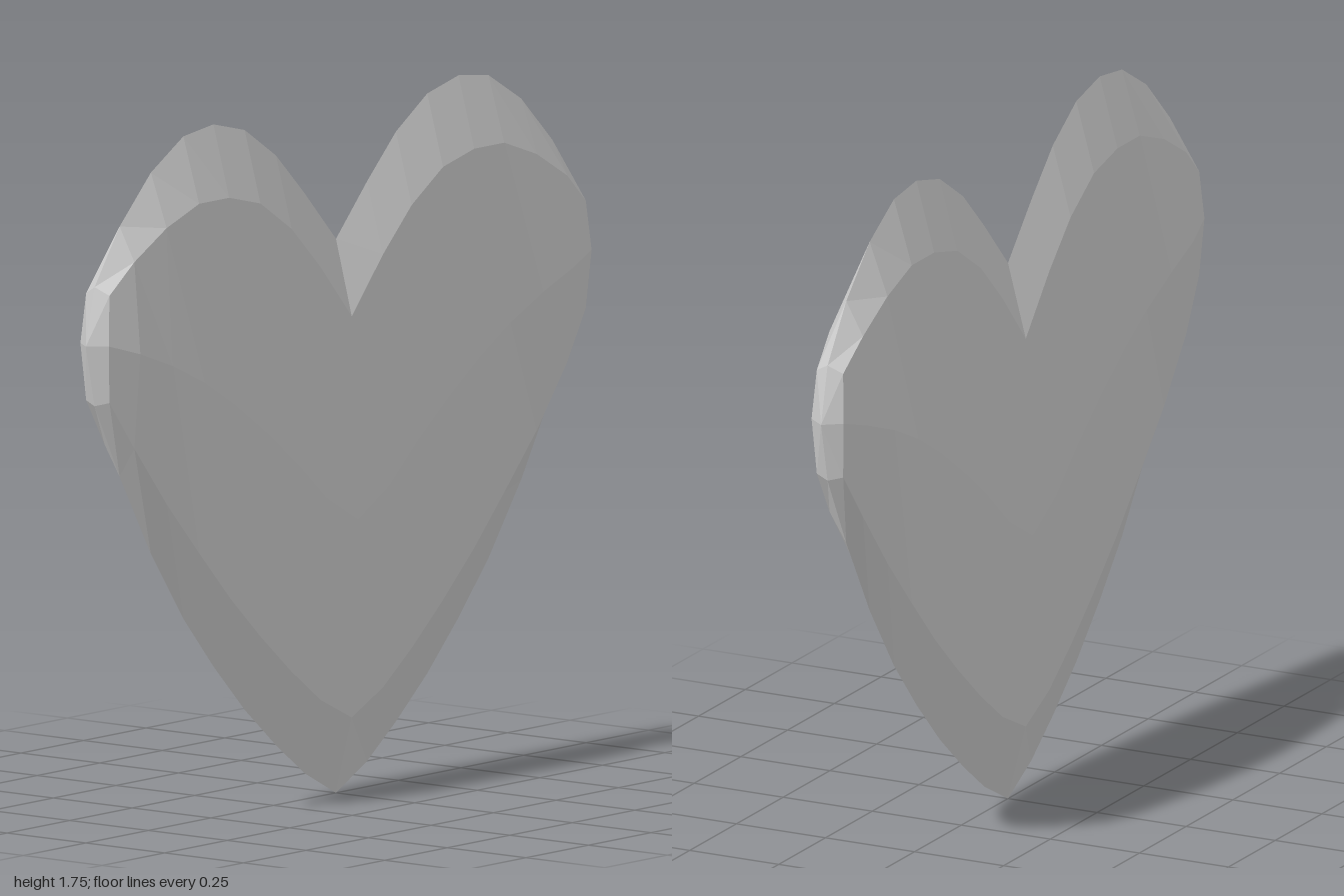
import * as THREE from 'three';

// Half-heart stations from the centre crease to the side tip:
// [x, top rim, upper bevel, middle ridge, lower bevel, bottom rim, bevel depth, ridge depth]
const STATIONS = [
  [0, 1.40, 1.21, 0.70, 0.20, 0.005, 0.05, 0.07],
  [0.125, 1.53, 1.35, 0.77, 0.26, 0.07, 0.05, 0.07],
  [0.24, 1.64, 1.46, 0.87, 0.345, 0.155, 0.05, 0.07],
  [0.365, 1.72, 1.54, 0.965, 0.45, 0.26, 0.05, 0.07],
  [0.49, 1.75, 1.57, 1.05, 0.565, 0.385, 0.05, 0.07],
  [0.61, 1.735, 1.57, 1.12, 0.69, 0.52, 0.05, 0.07],
  [0.74, 1.66, 1.525, 1.18, 0.83, 0.70, 0.05, 0.07],
  [0.865, 1.54, 1.455, 1.225, 0.985, 0.91, 0.047, 0.066],
  [0.965, 1.40, 1.38, 1.255, 1.11, 1.10, 0.037, 0.045],
  [1, 1.255, 1.255, 1.255, 1.255, 1.255, 0, 0],
];
const SIDES = 8;

// Eight-sided ring: top rim, down the front, bottom rim, up the back
function ring([x, top, upper, mid, lower, bottom, zb, zr], side) {
  const inset = x > 0.9 && x < 1 ? x - 0.013 : x; // bevel corners pull in near the tip
  return [
    [x, top, 0], [inset, upper, zb], [x, mid, zr], [inset, lower, zb],
    [x, bottom, 0], [inset, lower, -zb], [x, mid, -zr], [inset, upper, -zb],
  ].map(([px, py, pz]) => new THREE.Vector3(side * px, py, pz));
}

export function createModel() {
  // Left tip to right tip, mirrored about the crease
  const rings = [
    ...STATIONS.slice(1).reverse().map((s) => ring(s, -1)),
    ...STATIONS.map((s) => ring(s, 1)),
  ];
  const points = [];
  const last = rings.length - 1;
  for (let i = 0; i < last; i++) {
    for (let j = 0; j < SIDES; j++) {
      const k = (j + 1) % SIDES;
      const a = rings[i][j], b = rings[i][k], c = rings[i + 1][k], d = rings[i + 1][j];
      // The tips are single points, so they take one triangle per side
      if (i === 0) points.push(a, c, d);
      else if (i === last - 1) points.push(a, b, c);
      else points.push(a, b, c, a, c, d);
    }
  }
  const geometry = new THREE.BufferGeometry().setFromPoints(points);
  geometry.computeVertexNormals();

  const heart = new THREE.Mesh(
    geometry,
    new THREE.MeshStandardMaterial({ color: 0xcccccc, flatShading: true })
  );
  heart.name = 'heart';
  const group = new THREE.Group();
  group.name = 'heartModel';
  group.add(heart);
  return group;
}
